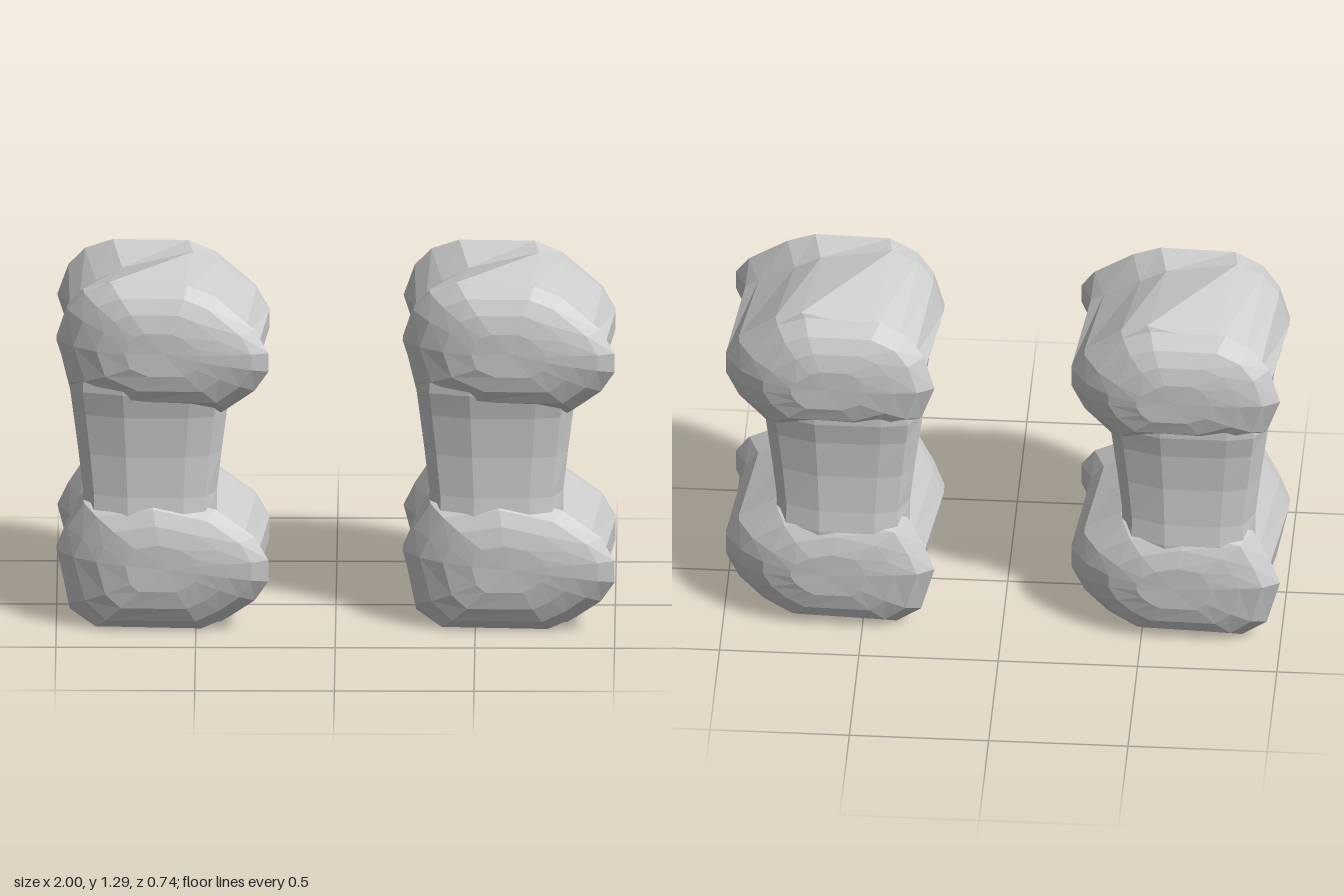
import * as THREE from 'three';

const material = new THREE.MeshStandardMaterial({ color: 0xcccccc, flatShading: true, side: THREE.DoubleSide });
const HALF = 0.38; // half width of one block

// Outlines of the two lobed beams, counter-clockwise seen from the front
const upperOutline = [
  [-0.14, 0.83], [0.23, 0.83], [0.33, 0.91], [0.38, 0.99], [0.38, 1.06], [0.33, 1.14], [0.19, 1.25],
  [0.09, 1.29], [-0.18, 1.29], [-0.28, 1.25], [-0.34, 1.18], [-0.38, 1.06], [-0.33, 0.91],
];
const lowerOutline = [
  [-0.24, 0.0], [0.14, 0.0], [0.24, 0.05], [0.33, 0.12], [0.38, 0.2], [0.38, 0.28], [0.33, 0.36], [0.19, 0.45],
  [-0.04, 0.5], [-0.28, 0.46], [-0.34, 0.36], [-0.38, 0.27], [-0.33, 0.08],
];

// Skin a list of rings and close both ends
function loft(rings) {
  const n = rings[0].length;
  const pos = rings.flat(2);
  const index = [];
  for (let r = 0; r < rings.length - 1; r++) {
    for (let i = 0; i < n; i++) {
      const j = (i + 1) % n;
      const a = r * n + i, b = r * n + j, c = b + n, d = a + n;
      index.push(a, b, c, a, c, d);
    }
  }
  for (const last of [false, true]) {
    const ring = last ? rings[rings.length - 1] : rings[0];
    const start = last ? (rings.length - 1) * n : 0;
    const centre = pos.length / 3;
    for (let k = 0; k < 3; k++) pos.push(ring.reduce((s, p) => s + p[k], 0) / n);
    for (let i = 0; i < n; i++) {
      const a = start + i, b = start + ((i + 1) % n);
      if (last) index.push(centre, a, b);
      else index.push(centre, b, a);
    }
  }
  const geometry = new THREE.BufferGeometry();
  geometry.setAttribute('position', new THREE.Float32BufferAttribute(pos, 3));
  geometry.setIndex(index);
  const flat = geometry.toNonIndexed();
  flat.computeVertexNormals();
  return flat;
}

// Beam running front to back: rounded lobe, pinched bar, rounded lobe
function beam(outline, cy, dip, backFloor, frontFloor) {
  // Ends of the width lean to zLeft and zRight, the middle stays level
  const ring = (scale, zLeft, zRight) => outline.map(([x, y]) => {
    const t = 0.5 + 0.5 * (x / HALF) ** 3;
    return [x * scale, cy + (y - cy) * scale, THREE.MathUtils.lerp(zLeft, zRight, t)];
  });
  // Bar ends are drawn in and dip on one side, with a sagging underside in front
  const barEnd = (zLeft, zRight, pinch, sag, floor) => ring(1, zLeft, zRight).map(([x, y, z]) => {
    const side = 0.5 + 0.5 * Math.sign(pinch) * x / HALF;
    const high = Math.max(0, (y - cy) / 0.25);
    const low = y < cy - 0.08 ? sag : 0;
    return [x - pinch * side, Math.max(floor, y - dip * side * side * high - low), z];
  });
  return loft([
    ring(0.35, -0.37, -0.36),
    ring(0.62, -0.368, -0.325),
    ring(0.84, -0.362, -0.265),
    ring(1, -0.33, -0.175),
    barEnd(-0.22, -0.15, -0.045, 0, backFloor),
    barEnd(0.15, 0.275, 0.04, 0.04, frontFloor),
    ring(1, 0.2, 0.35),
    ring(0.84, 0.275, 0.365),
    ring(0.62, 0.325, 0.368),
    ring(0.35, 0.355, 0.368),
  ]);
}

// Waisted upright whose outer face flares into the lobes
function post() {
  const section = [[-0.24, 0.2], [-0.2, 0.26], [-0.08, 0.3], [0.12, 0.3], [0.2, 0.28], [0.24, 0.21]];
  const levels = [
    [0.2, 1, 0.02], [0.42, 1, 0.02], [0.5, 1, 0.008], [0.65, 1.07, 0],
    [0.8, 1.15, 0.008], [0.89, 1.2, 0.025], [1.08, 1.15, 0.02],
  ];
  return loft(levels.map(([y, s, flare]) => section.map(([x, z]) => [x * s, y, z > 0.25 ? z + flare : z])));
}

function createBlock(name, x) {
  const block = new THREE.Group();
  block.name = name;
  block.position.x = x;
  const add = (part, geometry) => {
    const mesh = new THREE.Mesh(geometry, material);
    mesh.name = part;
    block.add(mesh);
    return mesh;
  };
  add('upperBeam', beam(upperOutline, 1.05, 0.16, 0.83, 0.79));
  add('lowerBeam', beam(lowerOutline, 0.25, 0.05, 0.04, 0));
  add('frontPost', post()).position.x = -0.045;
  const back = add('backPost', post());
  back.rotation.y = Math.PI;
  back.position.set(-0.045, 0, -0.018);
  return block;
}

export function createModel() {
  const model = new THREE.Group();
  model.name = 'pairOfBlocks';
  model.add(createBlock('rightBlock', -0.62), createBlock('leftBlock', 0.62));
  return model;
}
